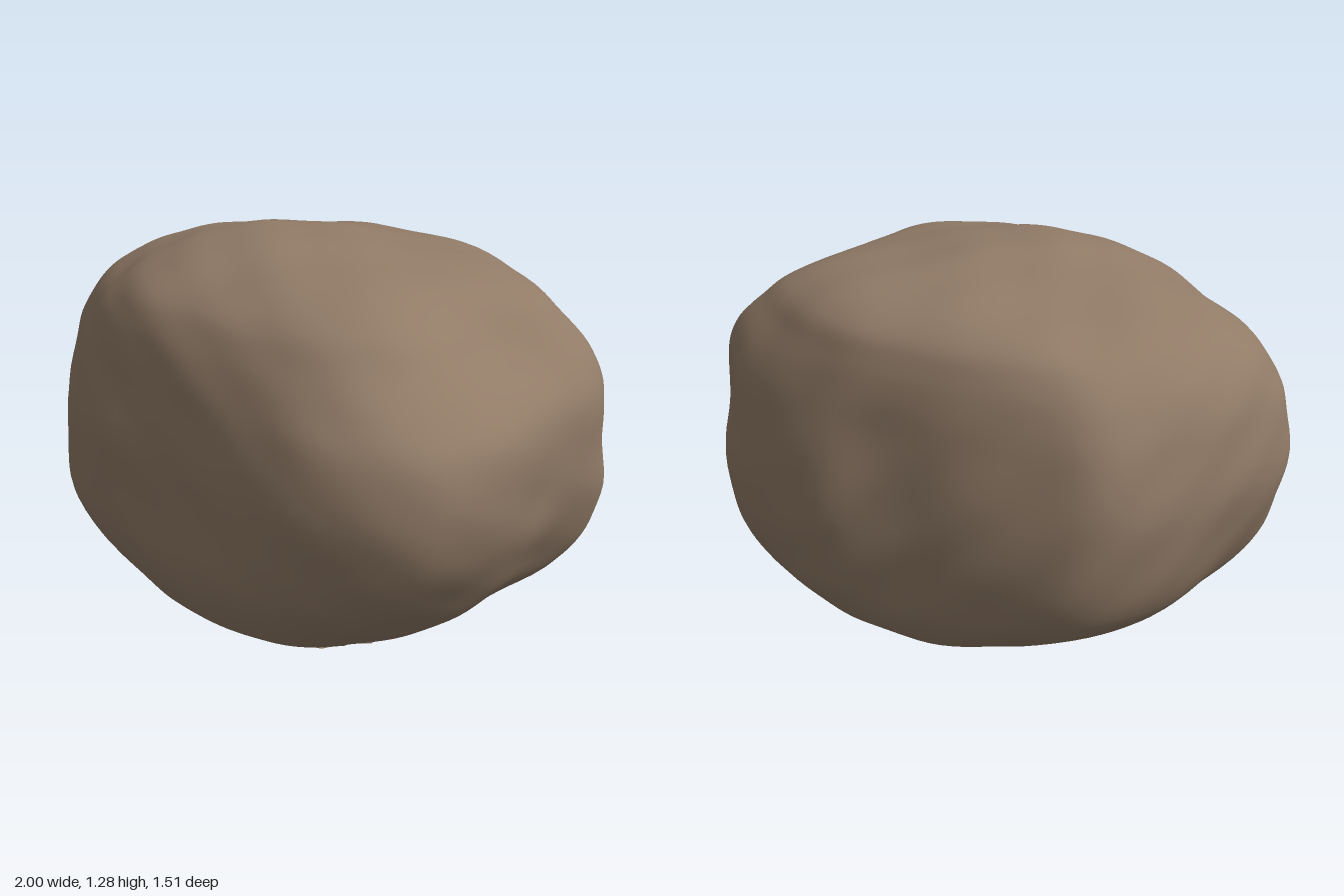
import * as THREE from 'three';

const SEGMENTS = 112, STEPS = 5;

// Plan outline (x, z), normalised to -1..1 below
const PLAN = [
  [-1, 0.18], [-0.95, -0.2], [-0.86, -0.42], [-0.72, -0.61], [-0.58, -0.66], [-0.3, -0.71], [0, -0.73],
  [0.2, -0.755], [0.4, -0.72], [0.6, -0.64], [0.8, -0.5], [0.91, -0.39], [0.95, -0.25], [0.955, -0.1],
  [0.98, 0.05], [0.99, 0.25], [0.97, 0.42], [0.92, 0.56], [0.8, 0.67], [0.6, 0.74], [0.4, 0.75],
  [0, 0.73], [-0.3, 0.69], [-0.55, 0.61], [-0.8, 0.46], [-0.94, 0.33],
];

// Layers from the open underside to the crown: y, xMin, xMax, zMin, zMax, roundness
const LAYERS = [
  [0.03, -0.4, 0.58, -0.54, 0.54, 0.8],
  [0.05, -0.5, 0.63, -0.59, 0.59, 0.7],
  [0.1, -0.64, 0.7, -0.66, 0.66, 0.5],
  [0.2, -0.78, 0.8, -0.715, 0.715, 0.3],
  [0.32, -0.87, 0.88, -0.735, 0.745, 0.15],
  [0.48, -0.94, 0.96, -0.745, 0.745, 0.05],
  [0.65, -0.985, 0.995, -0.735, 0.745, 0],
  [0.82, -0.975, 0.995, -0.71, 0.715, 0.05],
  [0.93, -0.95, 0.945, -0.69, 0.69, 0.25],
  [1.03, -0.89, 0.845, -0.66, 0.655, 0.4],
  [1.12, -0.78, 0.74, -0.61, 0.6, 0.5],
  [1.19, -0.61, 0.57, -0.48, 0.5, 0.65],
  [1.24, -0.38, 0.3, -0.24, 0.38, 0.8],
  [1.275, -0.2, 0.1, -0.08, 0.24, 0.9],
  [1.288, -0.04, -0.04, 0.09, 0.09, 1],
];

// Broad dents and swellings: x, y, z, radius, height
const BUMPS = [
  [0.72, 0.2, 0.6, 0.28, -0.035],
  [0.74, 0.28, -0.48, 0.3, 0.09],
  [-0.68, 0.31, 0.51, 0.32, 0.08],
  [-0.74, 0.3, -0.42, 0.22, 0.03],
  [-0.55, 0.1, -0.5, 0.2, -0.02],
  [0.8, 1.06, 0.03, 0.2, -0.07],
  [0.8, 1, -0.4, 0.2, 0.03],
  [0.55, 1.12, 0.4, 0.2, 0.015],
  [-0.66, 1.07, 0.36, 0.25, -0.045],
  [-0.45, 1.17, -0.3, 0.25, -0.03],
  [0, 1.2, 0.5, 0.2, -0.02],
  [0.97, 0.6, 0.03, 0.16, -0.02],
  [0.88, 0.72, -0.5, 0.15, -0.025],
  [0.6, 0.8, 0.72, 0.25, 0.015],
  [-0.3, 0.62, 0.74, 0.12, 0.012],
  [-0.6, 0.45, 0.65, 0.1, -0.015],
];

function catmullRom(a, b, c, d, t) {
  return 0.5 * (2 * b + (c - a) * t + (2 * a - 5 * b + 4 * c - d) * t * t + (3 * b - a - 3 * c + d) * t * t * t);
}

function layerAt(step) {
  const i = Math.min(Math.floor(step / STEPS), LAYERS.length - 2);
  const t = step / STEPS - i;
  const pick = (k) => LAYERS[Math.max(0, Math.min(LAYERS.length - 1, k))];
  return LAYERS[i].map((v, n) => catmullRom(pick(i - 1)[n], v, pick(i + 1)[n], pick(i + 2)[n], t));
}

// Weathered surface: gentle waves plus the broad bumps
function relief(p) {
  let h = 0.004 * Math.sin(9.3 * p.x - 6.1 * p.z + 2) * Math.sin(8.7 * p.y + 4.2 * p.z)
    + 0.004 * Math.sin(17 * p.x + 11 * p.y) * Math.sin(15 * p.z - 13 * p.y + 1.3);
  for (const [x, y, z, r, amount] of BUMPS) {
    const d2 = (p.x - x) ** 2 + (p.y - y) ** 2 + (p.z - z) ** 2;
    h += amount * Math.exp(-d2 / (r * r));
  }
  return h;
}

function boulderGeometry() {
  const curve = new THREE.CatmullRomCurve3(PLAN.map(([x, z]) => new THREE.Vector3(x / 0.99, 0, z / 0.75)), true);
  const outline = curve.getSpacedPoints(SEGMENTS).slice(0, SEGMENTS);
  const rings = (LAYERS.length - 1) * STEPS;
  const positions = [], index = [];
  const p = new THREE.Vector3(), dir = new THREE.Vector3();

  for (let i = 0; i <= rings; i++) {
    const [y, x0, x1, z0, z1, round] = layerAt(i);
    for (let j = 0; j < SEGMENTS; j++) {
      const o = outline[j];
      const s = 1 + round * (1 / Math.hypot(o.x, o.z) - 1);
      p.set((x0 + x1) / 2 + o.x * s * (x1 - x0) / 2, y, (z0 + z1) / 2 + o.z * s * (z1 - z0) / 2);
      dir.set(p.x, (p.y - 0.6) * 0.8, p.z).normalize();
      p.addScaledVector(dir, relief(p));
      // Ragged rim around the open underside
      if (i === 0) {
        const jag = (Math.abs((j % 4) - 2) - 1) * Math.sin(j * 0.37 + 1);
        p.x *= 1 - 0.07 * jag;
        p.z *= 1 - 0.07 * jag;
        p.y = 0.018 - 0.018 * jag;
      }
      positions.push(p.x, Math.max(0, p.y), p.z);
    }
  }
  for (let i = 0; i < rings; i++) {
    for (let j = 0; j < SEGMENTS; j++) {
      const k = (j + 1) % SEGMENTS;
      const a = i * SEGMENTS + j, b = i * SEGMENTS + k, c = a + SEGMENTS, d = b + SEGMENTS;
      index.push(a, c, b);
      if (i < rings - 1) index.push(b, c, d);
    }
  }
  const geometry = new THREE.BufferGeometry();
  geometry.setAttribute('position', new THREE.Float32BufferAttribute(positions, 3));
  geometry.setIndex(index);
  geometry.computeVertexNormals();
  return geometry;
}

export function createModel() {
  const stone = new THREE.MeshStandardMaterial({ color: 0x917b67, side: THREE.DoubleSide });
  stone.name = 'brown stone';
  const boulder = new THREE.Mesh(boulderGeometry(), stone);
  boulder.name = 'boulder';
  const group = new THREE.Group();
  group.name = 'rock';
  group.add(boulder);
  return group;
}
